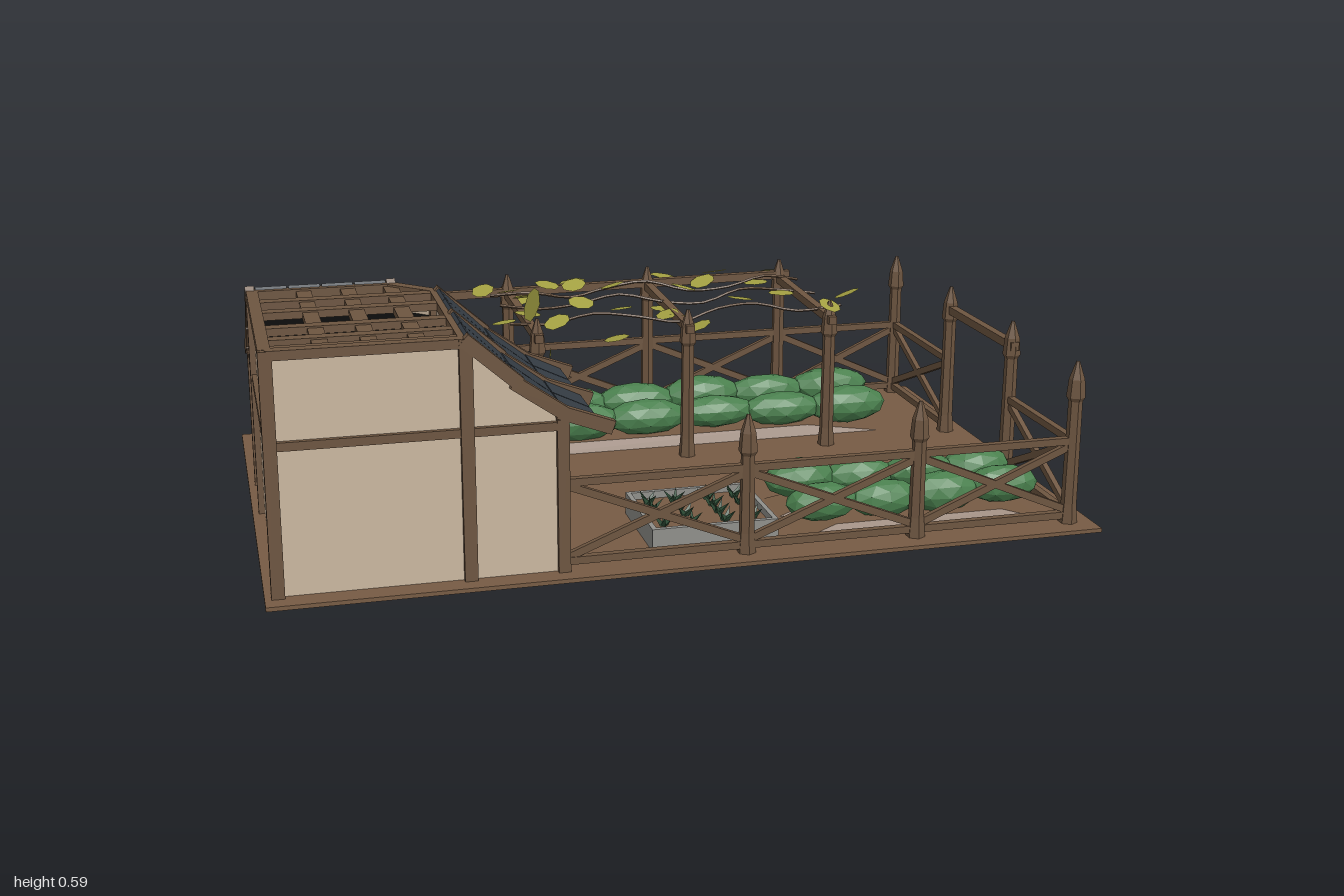
import * as THREE from 'three';

const mat = (name, color) => {
  const m = new THREE.MeshStandardMaterial({ color });
  m.name = name;
  m.flatShading = true;
  return m;
};

export function createModel() {
  const earth = mat('earth', 0x775b44), wood = mat('wood', 0x6d5540), plaster = mat('plaster', 0xcab7a0);
  const slate = mat('slate', 0x353d45), crop = mat('cropGreen', 0x4a804e), leafMat = mat('leafOlive', 0xa3a042);
  const herb = mat('herbGreen', 0x2f4f38), stone = mat('stone', 0x8f8f8b), dark = mat('darkInterior', 0x0c0c0c);
  const doorWood = mat('doorWood', 0x584534);
  plaster.side = leafMat.side = herb.side = THREE.DoubleSide;

  const root = new THREE.Group();
  root.name = 'cottageGarden';
  let seed = 7;
  const rnd = () => (seed = (seed * 16807) % 2147483647) / 2147483647;
  const group = (name, parent = root) => {
    const g = new THREE.Group();
    g.name = name;
    parent.add(g);
    return g;
  };
  const add = (parent, name, geo, m, x = 0, y = 0, z = 0) => {
    const o = new THREE.Mesh(geo, m);
    o.name = name;
    o.position.set(x, y, z);
    parent.add(o);
    return o;
  };
  const box = (p, name, m, w, h, d, x, y, z) => add(p, name, new THREE.BoxGeometry(w, h, d), m, x, y, z);
  // Straight beam from a to b
  const bar = (p, name, a, b, w = 0.02, h = w, m = wood) => {
    const A = new THREE.Vector3(...a), B = new THREE.Vector3(...b);
    const o = add(p, name, new THREE.BoxGeometry(w, h, A.distanceTo(B)), m);
    o.position.addVectors(A, B).multiplyScalar(0.5);
    o.lookAt(B.clone().sub(A).add(o.position));
    return o;
  };

  // Ground
  box(root, 'ground', earth, 2, 0.01, 1.265, 0, 0.005, 0.022);

  // House core: square plan with one cut corner, open at the top
  const house = group('house');
  const plan = [[-0.97, 0.6], [-0.54, 0.6], [-0.54, 0.14], [-0.64, 0.04], [-0.97, 0.04]];
  plan.forEach(([x, z], i) => {
    const [x2, z2] = plan[(i + 1) % plan.length];
    const wall = add(house, 'wall', new THREE.PlaneGeometry(Math.hypot(x2 - x, z2 - z), 0.56), plaster,
      (x + x2) / 2, 0.285, (z + z2) / 2);
    wall.rotation.y = Math.atan2(-(z2 - z), x2 - x);
    bar(house, 'roofEdgeBeam', [x, 0.565, z], [x2, 0.565, z2], 0.028, 0.022);
    bar(house, 'cornerPost', [x, 0, z], [x, 0.575, z], 0.03);
  });
  const roofShape = new THREE.Shape(plan.map(([x, z]) => new THREE.Vector2(x, -z)));
  const floor = add(house, 'darkInterior', new THREE.ShapeGeometry(roofShape), dark, 0, 0.51, 0);
  floor.rotation.x = -Math.PI / 2;

  // Open timber lattice on the flat roof
  [-0.848, -0.742, -0.638].forEach(x => bar(house, 'latticeBeam', [x, 0.562, 0.05], [x, 0.562, 0.6], 0.036, 0.018));
  [0.152, 0.255, 0.402, 0.505, 0.582].forEach(z =>
    bar(house, 'latticeBeam', [-0.97, 0.566, z], [-0.54, 0.566, z], 0.032, 0.018));

  // Lower wing with a flared slope carrying panels between rafters
  const slope = [[0, 0.57], [0.11, 0.465], [0.21, 0.39], [0.3, 0.348]];
  const wing = (name, depth, rafters, columns) => {
    const g = group(name, house);
    const s = new THREE.Shape([[0, 0.008], [0.22, 0.008], [0.22, 0.375], [0.11, 0.455], [0, 0.56]]
      .map(p => new THREE.Vector2(...p)));
    add(g, 'wingWall', new THREE.ExtrudeGeometry(s, { depth, bevelEnabled: false }), plaster);
    for (let i = 0; i < 3; i++) {
      const [a, ya] = slope[i], [b, yb] = slope[i + 1];
      rafters.forEach(z => bar(g, 'rafter', [a - 0.005, ya + 0.004, z], [b + (i === 2 ? 0.03 : 0.008), yb, z], 0.022, 0.032));
      for (let k = 0; k < rafters.length - 1; k++) {
        const w = (rafters[k + 1] - rafters[k] - 0.022) / columns;
        for (let c = 0; c < columns; c++) {
          const z = rafters[k] + 0.011 + w * (c + 0.5);
          bar(g, 'roofPanel', [a + 0.003, ya + 0.008, z], [b, yb + 0.008, z], w - 0.004, 0.012, slate);
        }
        bar(g, 'panelBacking', [a, ya, (rafters[k] + rafters[k + 1]) / 2], [b, yb, (rafters[k] + rafters[k + 1]) / 2],
          rafters[k + 1] - rafters[k], 0.008, slate);
      }
    }
    [0, depth].forEach(z => bar(g, 'wingPost', [0.215, 0, z], [0.215, 0.375, z], 0.028));
    return g;
  };
  wing('rightWing', 0.455, [-0.005, 0.23, 0.46], 2).position.set(-0.54, 0, 0.145);
  const back = wing('backWing', 0.33, [-0.005, 0.335], 4);
  back.position.set(-0.97, 0, 0.04);
  back.rotation.y = Math.PI / 2;
  bar(house, 'frontMidBeam', [-0.97, 0.36, 0.602], [-0.32, 0.36, 0.602], 0.02);
  bar(house, 'sideMidBeam', [-0.972, 0.36, 0.6], [-0.972, 0.36, -0.18], 0.02);
  bar(house, 'cornerMidBeam', [-0.64, 0.45, 0.04], [-0.54, 0.45, 0.14], 0.022);

  // Pointed plank panels: door in the cut corner, shutter on the right wing
  const planks = (name, w, h, sag, x, y, z, angle) => {
    const g = group(name, house);
    g.position.set(x, y, z);
    g.rotation.y = angle;
    for (let i = 0; i < 5; i++) {
      const t = Math.abs(i - 2) / 2, top = h * (1 - 0.38 * t * t - 0.05 * t), low = sag * (1 - t);
      box(g, 'plank', i % 2 ? doorWood : wood, w / 5 - 0.003, top - low, 0.012, (i - 2) * w / 5, (top + low) / 2, 0.006);
    }
    box(g, 'backing', doorWood, w * 0.9, h * 0.55, 0.006, 0, h * 0.3 + sag, 0.002);
    return g;
  };
  const door = planks('door', 0.1, 0.35, 0, -0.588, 0.01, 0.088, Math.PI * 0.75);
  [-1, 1].forEach(s => {
    bar(door, 'doorFrame', [s * 0.06, 0, 0.01], [s * 0.052, 0.25, 0.01], 0.018, 0.03);
    bar(door, 'doorFrame', [s * 0.052, 0.25, 0.01], [0, 0.36, 0.01], 0.018, 0.03);
  });
  bar(door, 'lampBracket', [0, 0.44, 0], [0, 0.45, 0.07], 0.012);
  planks('shutter', 0.09, 0.16, 0.015, -0.319, 0.15, 0.375, Math.PI / 2);

  // Fence posts, rails and crossed braces
  const fence = group('fence');
  const post = (x, z, h) => {
    const pts = [[0.024, 0], [0.019, 0.06], [0.017, h - 0.1], [0.023, h - 0.09], [0.019, h - 0.045], [0.004, h]];
    add(fence, 'post', new THREE.LatheGeometry(pts.map(p => new THREE.Vector2(...p)), 6), wood, x, 0, z);
  };
  const span = (x1, z1, x2, z2) => {
    [0.03, 0.22].forEach(y => bar(fence, 'rail', [x1, y, z1], [x2, y, z2], 0.018));
    bar(fence, 'brace', [x1, 0.04, z1], [x2, 0.21, z2], 0.014, 0.018);
    bar(fence, 'brace', [x1, 0.21, z1], [x2, 0.04, z2], 0.014, 0.018);
  };
  const rowX = [-0.31, 0.115, 0.54, 0.94], rowB = [-0.64, -0.24, 0.17, 0.57, 0.94];
  for (let i = 0; i < 3; i++) span(rowX[i], 0.59, rowX[i + 1], 0.59);
  for (let i = 0; i < 4; i++) span(rowB[i], -0.57, rowB[i + 1], -0.57);
  span(0.94, 0.59, 0.94, 0.23);
  span(0.94, -0.165, 0.94, -0.57);
  span(-0.64, -0.14, -0.64, -0.57);
  [[0.115, 0.59, 0.35], [0.54, 0.59, 0.35], [0.94, 0.59, 0.42], [0.94, 0.23, 0.43], [0.94, -0.165, 0.43],
    [0.94, -0.57, 0.43]].forEach(p => post(...p));
  rowB.slice(0, 4).forEach(x => post(x, -0.57, 0.44));
  bar(fence, 'gateLintel', [0.94, 0.365, 0.25], [0.94, 0.365, -0.185], 0.022);

  // Pergola
  const pergola = group('pergola');
  [-0.24, 0.17, 0.57].forEach(x => {
    post(x, -0.13, 0.42);
    bar(pergola, 'crossBeam', [x, 0.37, -0.1], [x, 0.385, -0.61], 0.022);
  });
  bar(pergola, 'longBeam', [-0.66, 0.385, -0.57], [0.6, 0.395, -0.57], 0.022);

  // Vines winding over the pergola
  [[-0.52, 0.3], [-0.38, 1.7], [-0.2, 3.1]].forEach(([z, ph]) => {
    const pts = Array.from({ length: 9 }, (_, i) =>
      new THREE.Vector3(-0.3 + i * 0.115, 0.39 + 0.015 * Math.sin(i * 2 + ph), z + 0.03 * Math.sin(i * 1.3 + ph)));
    add(pergola, 'vine', new THREE.TubeGeometry(new THREE.CatmullRomCurve3(pts), 24, 0.004, 4), wood);
  });
  const leafShape = new THREE.Shape([[0, -0.6], [0.35, -0.5], [0.5, 0], [0.35, 0.38], [0, 0.55], [-0.38, 0.35],
    [-0.5, -0.05], [-0.3, -0.5]].map(([x, y]) => new THREE.Vector2(x * 0.064, y * 0.064)));
  const leafGeo = new THREE.ShapeGeometry(leafShape);
  const leafXZ = [[-0.2, -0.63], [-0.04, -0.615], [0.23, -0.615], [0.39, -0.62], [0.56, -0.61], [-0.32, -0.51],
    [-0.13, -0.535], [-0.06, -0.52], [0.05, -0.51], [0.12, -0.55], [0.32, -0.525], [0.48, -0.525], [-0.22, -0.42],
    [-0.07, -0.38], [0.04, -0.35], [0.155, -0.34], [0.24, -0.42], [0.51, -0.36], [0.35, -0.25], [-0.31, -0.23],
    [-0.18, -0.155], [-0.03, -0.12], [0.14, -0.09], [0.145, -0.25], [0.57, -0.13], [0.67, -0.275], [0.61, -0.28],
    [-0.24, -0.27], [-0.25, -0.5], [0.22, -0.19]];
  leafXZ.forEach(([x, z]) => {
    const l = add(pergola, 'leaf', leafGeo, leafMat, x, 0.35 + rnd() * 0.065, z);
    l.rotation.set(-Math.PI / 2 + (rnd() - 0.5) * 0.8, (rnd() - 0.5) * 0.7, rnd() * 6.28);
  });
  // Larger hanging leaves at the near end
  [[-0.24, 0.44, -0.2, 0.9], [-0.22, 0.31, -0.07, 1.3], [-0.25, 0.25, -0.18, 1.1]].forEach(([x, y, z, r]) => {
    const l = add(pergola, 'hangingLeaf', leafGeo, leafMat, x, y, z);
    l.rotation.set(0.3, r, 0.5);
    l.scale.setScalar(1.4);
  });

  // Planted rows on low soil ridges
  const beds = group('cropBeds');
  const cropRow = (x1, x2, z, n) => {
    const ridge = add(beds, 'soilRidge', new THREE.CylinderGeometry(0.065, 0.1, 0.03, 4, 1), earth, (x1 + x2) / 2, 0.02, z);
    ridge.geometry.rotateY(Math.PI / 4);
    ridge.scale.x = (x2 - x1 + 0.03) / 0.141;
    const step = (x2 - x1) / n;
    for (let i = 0; i < n; i++) {
      const lump = add(beds, 'cropLump', new THREE.IcosahedronGeometry(1, 1), crop,
        x1 + step * (i + 0.5), 0.075 + rnd() * 0.008, z + (rnd() - 0.5) * 0.012);
      lump.geometry.rotateX(rnd() * 6);
      lump.scale.set(step * 0.6, 0.045 + rnd() * 0.01, 0.046 + rnd() * 0.011);
      lump.rotation.y = (rnd() - 0.5) * 0.12;
    }
  };
  cropRow(-0.58, 0.79, -0.455, 7);
  cropRow(-0.59, 0.78, -0.28, 7);
  cropRow(0.26, 0.89, 0.32, 4);
  cropRow(0.26, 0.89, 0.485, 4);

  // Stone planter with herbs
  const planter = group('planter');
  [-1, 1].forEach(s => {
    box(planter, 'planterSide', stone, 0.31, 0.065, 0.012, 0.055, 0.033, 0.405 + s * 0.129);
    box(planter, 'planterEnd', stone, 0.012, 0.065, 0.258, 0.055 + s * 0.149, 0.033, 0.405);
  });
  box(planter, 'planterSoil', earth, 0.29, 0.045, 0.25, 0.055, 0.025, 0.405);
  for (const x of [-0.055, 0.012, 0.097, 0.165]) for (const z of [0.32, 0.37, 0.42, 0.475]) {
    const plant = group('herb', planter);
    plant.position.set(x, 0.048, z);
    const turn = rnd() * 1.5;
    for (let k = 0; k < 4; k++) {
      const blade = add(plant, 'herbLeaf', new THREE.ConeGeometry(0.009, 0.04, 3), herb);
      blade.geometry.translate(0, 0.02, 0).rotateZ(-0.75);
      blade.rotation.y = turn + k * Math.PI / 2;
    }
  }
  return root;
}
